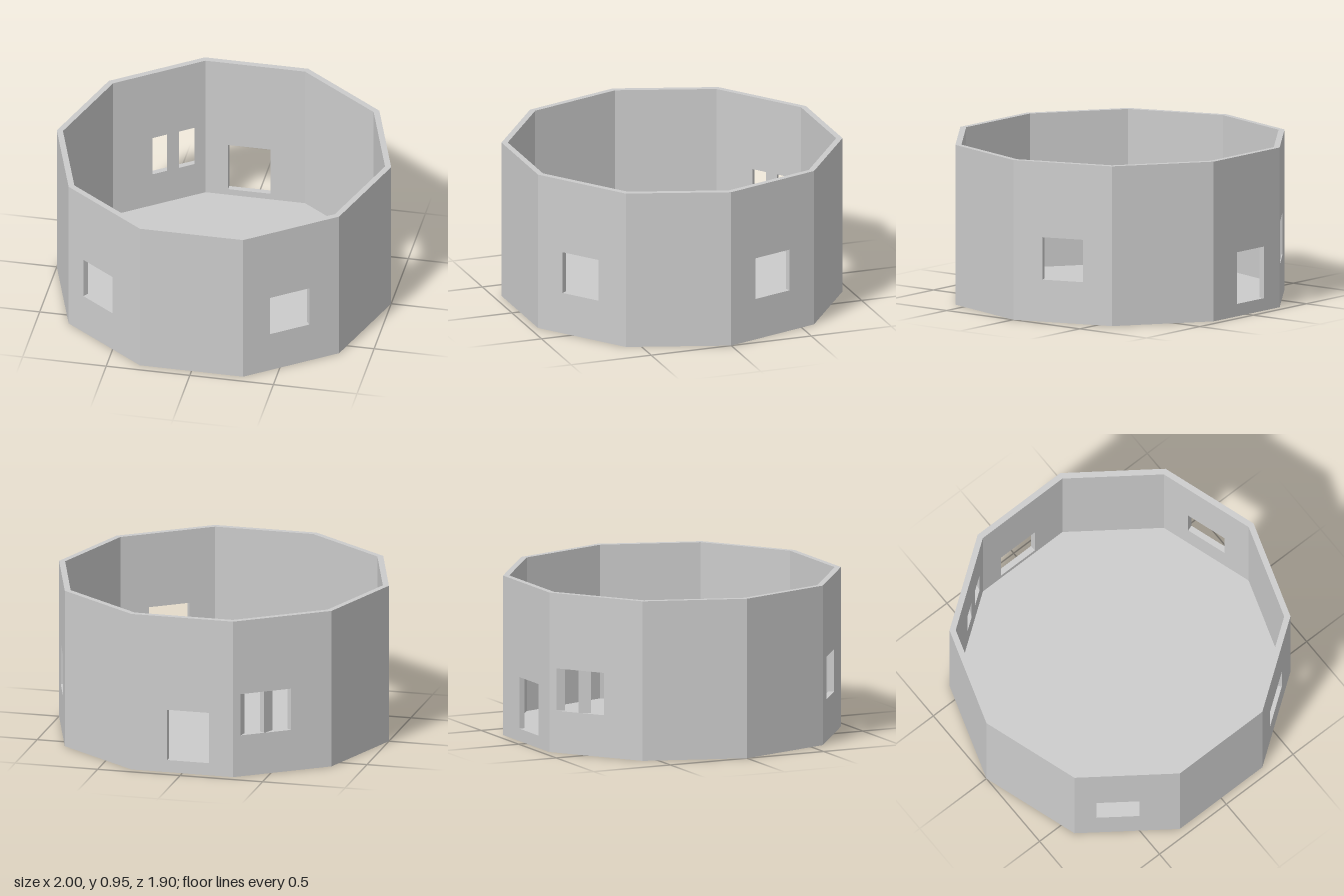
import * as THREE from 'three';

const SIDES = 10, STEP = (Math.PI * 2) / SIDES;
const HEIGHT = 0.95, THICK = 0.035;
const APOTHEM = Math.cos(STEP / 2);
const HALF_OUT = Math.sin(STEP / 2);
const HALF_IN = (APOTHEM - THICK) * Math.tan(STEP / 2);

const material = new THREE.MeshStandardMaterial({ color: 0xcccccc, flatShading: true });

// Upright prism from a plan outline of [x, z] points between two heights
function prism(name, plan, y0, y1) {
  const shape = new THREE.Shape(plan.map(([x, z]) => new THREE.Vector2(x, -z)));
  const geometry = new THREE.ExtrudeGeometry(shape, { depth: y1 - y0, bevelEnabled: false });
  geometry.rotateX(-Math.PI / 2);
  geometry.translate(0, y0, 0);
  const mesh = new THREE.Mesh(geometry, material);
  mesh.name = name;
  return mesh;
}

// Point on wall k: u runs along the wall, d goes inward from its outer face
function onWall(k, [u, d]) {
  const a = (k + 0.5) * STEP, r = APOTHEM - d;
  return [r * Math.cos(a) - u * Math.sin(a), r * Math.sin(a) + u * Math.cos(a)];
}

// Pier cross-section given its two ends on the outer and inner faces
const pier = (out0, out1, in0, in1) => [[out0, 0], [out1, 0], [in1, THICK], [in0, THICK]];
const FULL = pier(-HALF_OUT, HALF_OUT, -HALF_IN, HALF_IN);

// Opening centred at c along the wall, with a pier on either side
function opening(c, sill = 0.25, head = 0.502, half = 0.127) {
  return {
    sill, head,
    piers: [
      pier(-HALF_OUT, c - half, -HALF_IN, c - half),
      pier(c + half, HALF_OUT, c + half, HALF_IN),
    ],
  };
}

// Windows by wall index; the other walls are solid
const WINDOWS = {
  1: opening(0.01),
  3: opening(0.054),
  // Wide splayed opening split by a wedge-shaped mullion
  6: {
    sill: 0.25, head: 0.502,
    piers: [
      pier(-HALF_OUT, -0.054, -HALF_IN, -0.044),
      pier(0.262, HALF_OUT, 0.225, HALF_IN),
    ],
    mullion: [[0.127, THICK], [0.115, 0], [0.05, THICK]],
  },
  7: opening(-0.036, 0.074, 0.381), // lower and taller
  9: opening(0),
};

function buildWall(k) {
  const wall = new THREE.Group();
  const add = (name, section, y0, y1) =>
    wall.add(prism(name, section.map((p) => onWall(k, p)), y0, y1));
  const win = WINDOWS[k];
  wall.name = win ? 'windowWall' : 'plainWall';
  if (!win) {
    add('panel', FULL, THICK, HEIGHT);
    return wall;
  }
  add('belowWindow', FULL, THICK, win.sill);
  add('aboveWindow', FULL, win.head, HEIGHT);
  win.piers.forEach((section) => add('pier', section, win.sill, win.head));
  if (win.mullion) add('mullion', win.mullion, win.sill, win.head);
  return wall;
}

export function createModel() {
  const model = new THREE.Group();
  model.name = 'tenSidedRoom';

  // Floor slab under the ring of walls
  const corners = Array.from({ length: SIDES }, (_, i) => [Math.cos(i * STEP), Math.sin(i * STEP)]);
  model.add(prism('floor', corners, 0, THICK));

  for (let k = 0; k < SIDES; k++) model.add(buildWall(k));
  return model;
}
